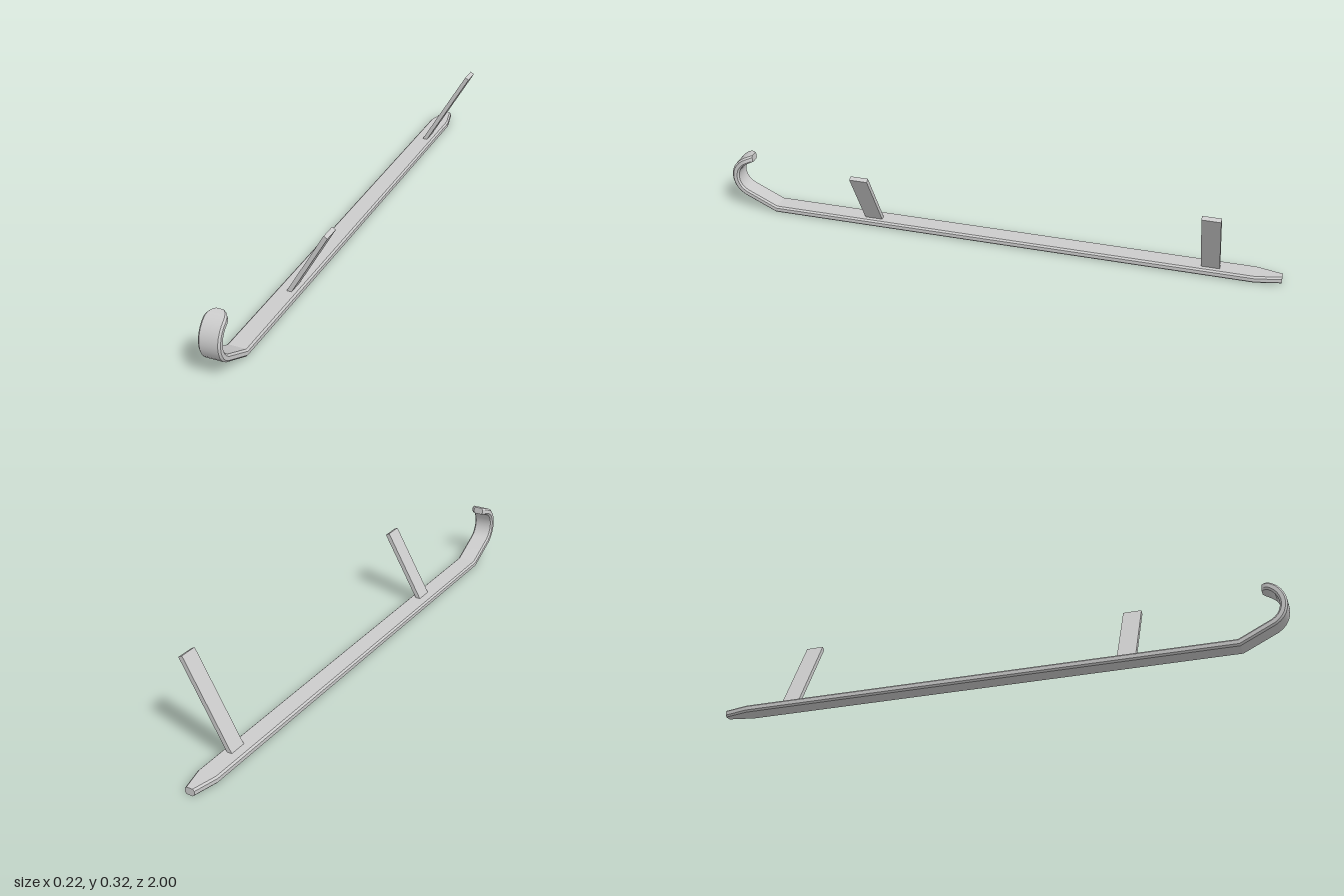
import * as THREE from 'three';
import { toCreasedNormals } from 'three/addons/utils/BufferGeometryUtils.js';

const SKI_X = -0.0725, HALF = 0.037, THICK = 0.025, BEVEL = 0.006;
const rad = THREE.MathUtils.degToRad;

// Bevelled cross-section: [across, up from the sole], counter-clockwise
function section(w) {
  const b = BEVEL, t = THICK;
  return [[w - b, 0], [w, b], [w, t - b], [w - b, t], [b - w, t], [-w, t - b], [-w, b], [b - w, 0]];
}

// Sweep the section along stations { z, y, tilt, w }, closing both ends
function sweep(stations) {
  const pos = [], idx = [], n = 8;
  for (const { z, y, tilt, w } of stations) {
    for (const [x, up] of section(w)) pos.push(x, y + up * Math.cos(tilt), z - up * Math.sin(tilt));
  }
  for (let i = 0; i < stations.length - 1; i++) {
    for (let j = 0; j < n; j++) {
      const a = i * n + j, b = i * n + (j + 1) % n;
      idx.push(a, b, b + n, a, b + n, a + n);
    }
  }
  const last = (stations.length - 1) * n;
  for (let j = 1; j < n - 1; j++) {
    idx.push(0, j + 1, j);
    idx.push(last, last + j, last + j + 1);
  }
  const geo = new THREE.BufferGeometry();
  geo.setAttribute('position', new THREE.Float32BufferAttribute(pos, 3));
  geo.setIndex(idx);
  return toCreasedNormals(geo, 0.35);
}

export function createModel() {
  const group = new THREE.Group();
  const material = new THREE.MeshStandardMaterial({ color: 0xcccccc });

  // Runner: tapered tail, long flat sole, ramp, then the curl
  const stations = [
    { z: -1, y: 0, tilt: 0, w: 0.017 },
    { z: -0.91, y: 0, tilt: 0, w: HALF },
    { z: -0.89, y: 0, tilt: 0, w: HALF },
    { z: 0.84, y: 0, tilt: rad(12.7), w: HALF },
  ];
  const R = 0.085, cz = 0.915, cy = 0.13;
  const addCurl = (deg, w) => {
    const a = rad(deg);
    stations.push({ z: cz + R * Math.cos(a), y: cy + R * Math.sin(a), tilt: a + Math.PI / 2, w });
  };
  for (let i = 0; i <= 10; i++) addCurl(-60 + i * 12, HALF);
  // Rounded tip
  for (const [deg, w] of [[68, 0.035], [75, 0.031], [81, 0.025], [85, 0.018]]) addCurl(deg, w);

  const runner = new THREE.Mesh(sweep(stations), material);
  runner.name = 'runner';
  runner.position.x = SKI_X;
  group.add(runner);

  // Leaning struts, 30 degrees off vertical, rooted in the runner
  const lean = rad(30), rootY = 0.02, rootX = -0.0682;
  const addStrut = (name, z, topY) => {
    const length = (topY - rootY) / Math.cos(lean);
    const geo = new THREE.BoxGeometry(0.0155, length, 0.064);
    geo.translate(0, length / 2, 0);
    const strut = new THREE.Mesh(geo, material);
    strut.name = name;
    strut.position.set(rootX, rootY, z);
    strut.rotation.z = -lean;
    group.add(strut);
  };
  addStrut('frontStrut', 0.463, 0.255);
  addStrut('rearStrut', -0.757, 0.312);

  return group;
}
